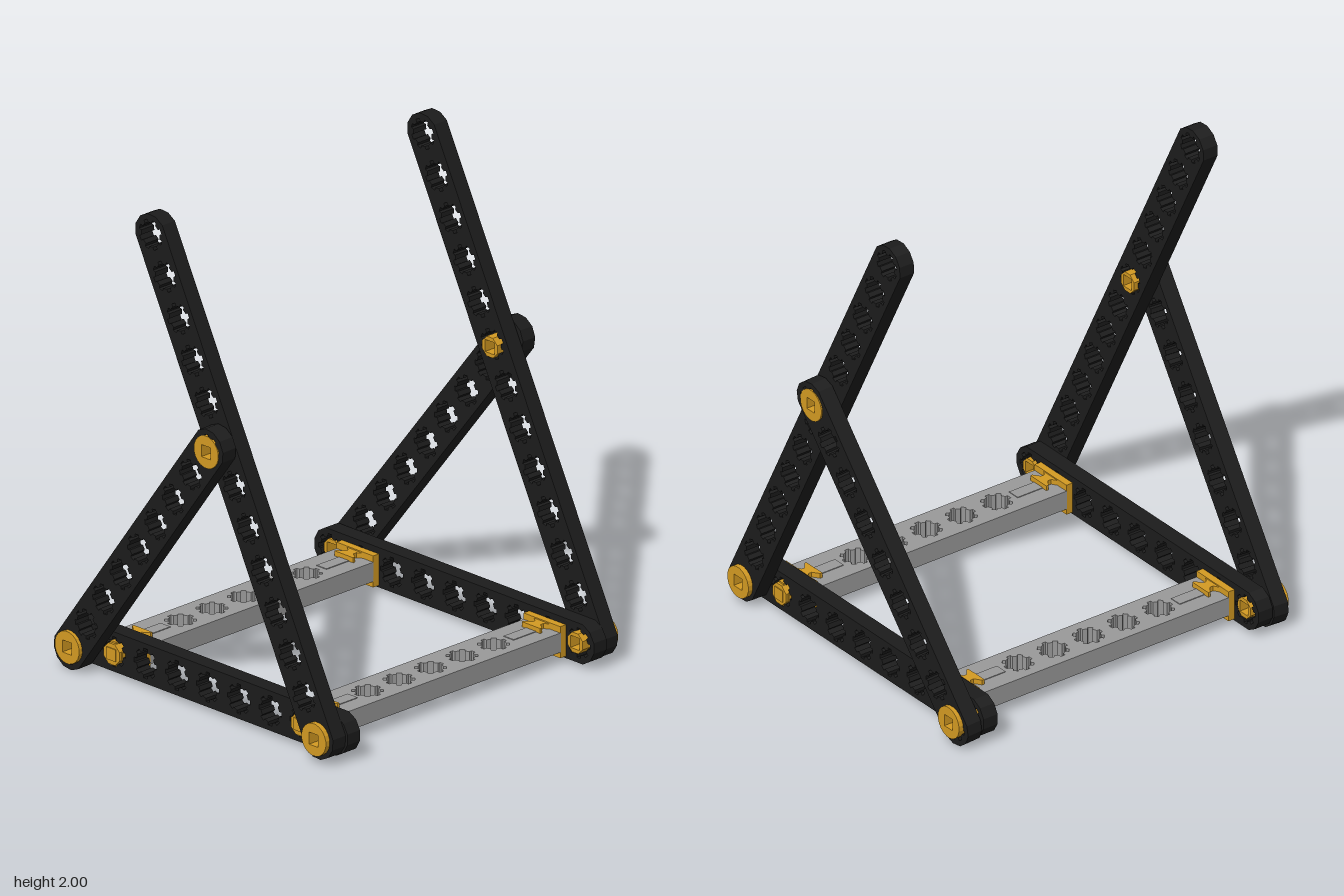
import * as THREE from 'three';

const mat = (color) => new THREE.MeshStandardMaterial({ color, flatShading: true });
const black = mat(0x1c1c1c), gold = mat(0xd39a22), grey = mat(0x999999);

const PITCH = 0.1694, HALF = 0.082, THICK = 0.068;
const V = (x, y, z) => new THREE.Vector3(x, y, z);

// closed outline of a regular polygon, given by its apothem
function polygon(n, apothem, x = 0, y = 0) {
  const r = apothem / Math.cos(Math.PI / n);
  return Array.from({ length: n }, (_, i) => {
    const a = ((i + 0.5) * 2 * Math.PI) / n;
    return new THREE.Vector2(x + r * Math.cos(a), y + r * Math.sin(a));
  });
}

// round hole with eight square notches
function notchedHole(x, y = 0) {
  const pts = [];
  for (let i = 0; i < 8; i++) {
    for (const [da, r] of [[-0.2, 0.05], [-0.16, 0.062], [0.16, 0.062], [0.2, 0.05]]) {
      const a = (i * Math.PI) / 4 + da;
      pts.push(new THREE.Vector2(x + r * Math.cos(a), y + r * Math.sin(a)));
    }
  }
  return new THREE.Path(pts);
}

// extrusion along z, centred on z = 0
function slab(points, depth, holes = []) {
  const shape = new THREE.Shape(points);
  shape.holes.push(...holes);
  return new THREE.ExtrudeGeometry(shape, { depth, bevelEnabled: false }).translate(0, 0, -depth / 2);
}

function add(parent, name, geometry, material, x = 0, y = 0, z = 0) {
  const mesh = new THREE.Mesh(geometry, material);
  mesh.name = name;
  mesh.position.set(x, y, z);
  parent.add(mesh);
  return mesh;
}

// perforated bar with faceted round ends, centred between points a and b
function perforatedBar(parent, name, a, b, count) {
  const half = ((count - 1) * PITCH) / 2;
  const outline = [];
  for (const side of [1, -1]) {
    for (let i = 0; i < 6; i++) {
      const t = (-75 + i * 30) * Math.PI / 180, r = HALF / Math.cos(Math.PI / 12);
      outline.push(new THREE.Vector2(side * (half + r * Math.cos(t)), side * r * Math.sin(t)));
    }
  }
  const holes = Array.from({ length: count }, (_, i) => notchedHole(i * PITCH - half));
  const mesh = add(parent, name, slab(outline, THICK, holes), black);
  const ex = b.clone().sub(a).normalize();
  const ey = V(0, 0, 1).cross(ex).normalize();
  const ez = ex.clone().cross(ey);
  mesh.quaternion.setFromRotationMatrix(new THREE.Matrix4().makeBasis(ex, ey, ez));
  mesh.position.copy(a).add(b).multiplyScalar(0.5);
}

// hollow pin with a square bore: thin shaft from z0 to z1 and a wide head of depth head
function pivotPin(parent, name, x, y, z0, z1, head, s) {
  const pin = new THREE.Group();
  pin.name = name;
  parent.add(pin);
  const bore = () => new THREE.Path(polygon(4, 0.025));
  add(pin, 'pinShaft', slab(polygon(8, 0.041), z1 - z0, [bore()]), gold, x, y, s * (z0 + z1) / 2);
  add(pin, 'pinHead', slab(polygon(20, 0.066), head, [bore()]), gold, x, y, s * (z1 - head / 2));
}

// one triangular side frame, s = +1 front or -1 back
function sideFrame(s) {
  const side = new THREE.Group();
  side.name = s > 0 ? 'frontSideFrame' : 'backSideFrame';
  perforatedBar(side, 'baseBar', V(-0.667, 0.106, s * 0.663), V(0.667, 0.106, s * 0.663), 9);
  perforatedBar(side, 'backrestBar', V(0.667, 0.106, s * 0.732), V(-0.241, 1.922, s * 0.732), 13);
  perforatedBar(side, 'braceBar', V(-0.667, 0.104, s * 0.742), V(0.135, 1.156, s * 0.803), 9);
  pivotPin(side, 'rearBasePin', -0.667, 0.106, 0.63, 0.795, 0.03, s);
  pivotPin(side, 'frontBasePin', 0.667, 0.106, 0.62, 0.787, 0.022, s);
  pivotPin(side, 'bracePin', 0.137, 1.156, 0.685, 0.842, 0.02, s);
  return side;
}

// end connector of a crossbar: flange, dovetail clamp and pin through the base bar
function connector(parent, x, s) {
  const g = new THREE.Group();
  g.name = 'crossbarConnector';
  parent.add(g);
  add(g, 'flange', new THREE.BoxGeometry(0.2, 0.13, 0.03), gold, x, 0.097, s * 0.614);
  const half = [[0.045, 0.6], [0.022, 0.585], [0.022, 0.57], [0.05, 0.55], [0.05, 0.54]];
  const pts = [...half, ...half.map(([px, pz]) => [-px, pz]).reverse()]
    .map(([px, pz]) => new THREE.Vector2(px, s * pz));
  add(g, 'dovetail', slab(pts, 0.12).rotateX(Math.PI / 2), gold, x, 0.097, 0);
  add(g, 'connectorPin', slab(polygon(8, 0.043), 0.1), gold, x, 0.1, s * 0.66);
  // snap tabs on the pin tip
  add(g, 'pinTab', new THREE.BoxGeometry(0.1, 0.03, 0.02), gold, x, 0.1, s * 0.69);
  add(g, 'pinTab', new THREE.BoxGeometry(0.03, 0.1, 0.02), gold, x, 0.1, s * 0.69);
  add(g, 'pinTip', new THREE.BoxGeometry(0.05, 0.05, 0.012), gold, x, 0.1, s * 0.708);
}

// flat crossbar joining the side frames, with five vertical holes
function crossbar(parent, x) {
  const g = new THREE.Group();
  g.name = 'crossbar';
  parent.add(g);
  const w = 0.1, l = 0.602;
  const outline = [[-w, -l], [w, -l], [w, l], [-w, l]].map(([a, b]) => new THREE.Vector2(a, b));
  const holes = [-2, -1, 0, 1, 2].map((i) => notchedHole(0, i * PITCH));
  add(g, 'crossbarBody', slab(outline, 0.08, holes).rotateX(Math.PI / 2), grey, x, 0.096, 0);
  for (const s of [1, -1]) {
    // narrow rib running from the hole row to the connector
    add(g, 'connectorRib', new THREE.BoxGeometry(0.054, 0.086, 0.13), grey, x, 0.096, s * 0.485);
    connector(g, x, s);
  }
}

export function createModel() {
  const model = new THREE.Group();
  model.name = 'perforatedBarStand';
  for (const s of [1, -1]) model.add(sideFrame(s));
  for (const x of [-0.51, 0.508]) crossbar(model, x);
  return model;
}
